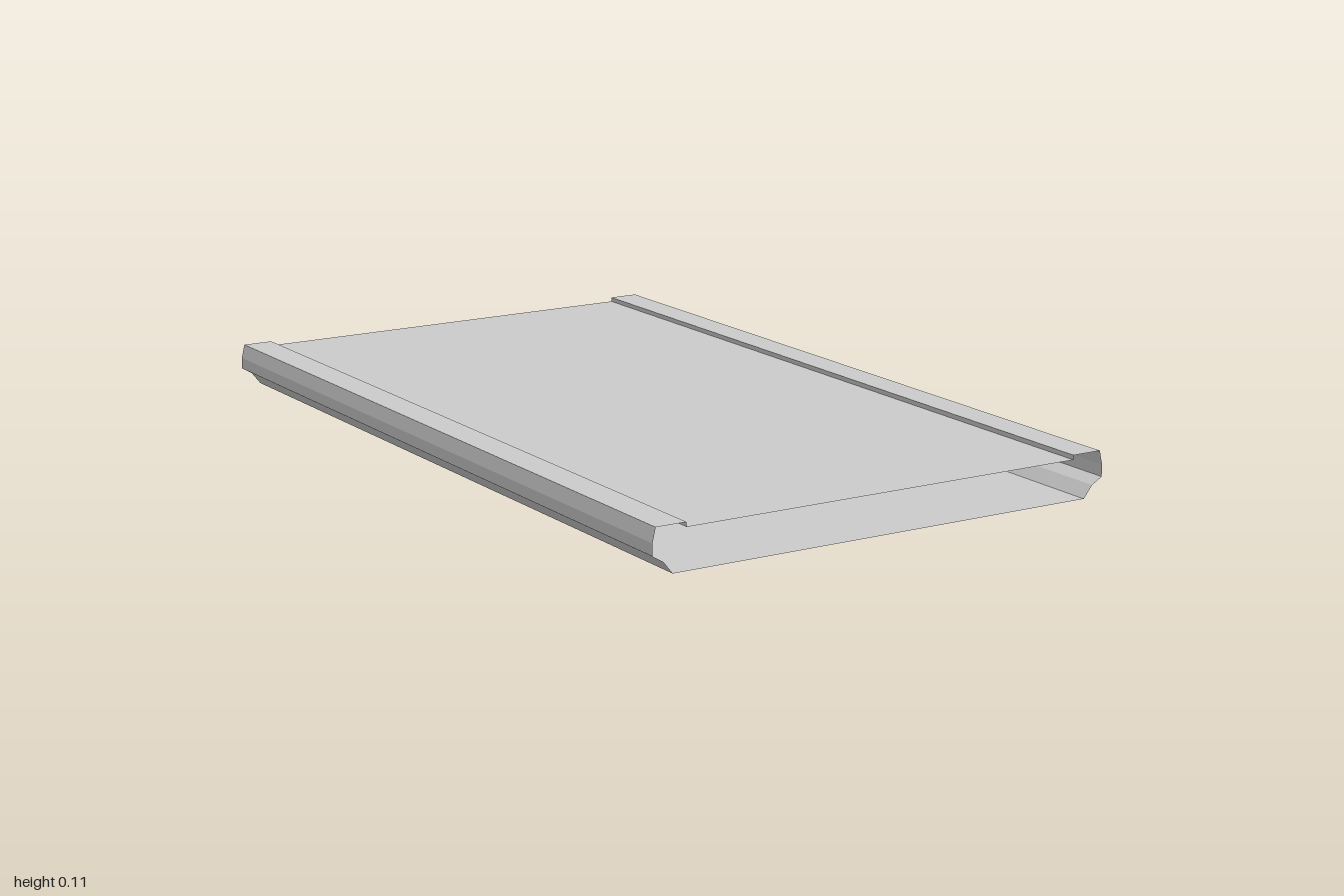
import * as THREE from 'three';

const HALF_LENGTH = 1;
const material = new THREE.MeshStandardMaterial({
  color: 0xcccccc, flatShading: true, side: THREE.DoubleSide,
});

// Sweeps an open [x, y] profile straight along z, leaving both ends open.
// The profile runs so that its left-hand side faces outwards (+x to -x on top).
function sweep(name, profile) {
  const positions = [];
  for (let i = 0; i < profile.length - 1; i++) {
    const [ax, ay] = profile[i];
    const [bx, by] = profile[i + 1];
    const a0 = [ax, ay, HALF_LENGTH], a1 = [ax, ay, -HALF_LENGTH];
    const b0 = [bx, by, HALF_LENGTH], b1 = [bx, by, -HALF_LENGTH];
    positions.push(...a0, ...a1, ...b1, ...a0, ...b1, ...b0);
  }
  const geometry = new THREE.BufferGeometry();
  geometry.setAttribute('position', new THREE.Float32BufferAttribute(positions, 3));
  geometry.computeVertexNormals();
  const mesh = new THREE.Mesh(geometry, material);
  mesh.name = name;
  return mesh;
}

export function createModel() {
  const group = new THREE.Group();
  group.name = 'hollowSlab';

  // Side rail: lower flank, undercut, upright side, raised lip, step to the panel
  const rail = [
    [0.55, 0], [0.573, 0.029], [0.6, 0.045], [0.6, 0.073],
    [0.592, 0.107], [0.516, 0.107], [0.516, 0.096],
  ];
  const mirrored = rail.map(([x, y]) => [-x, y]).reverse();

  group.add(sweep('leftRail', rail));
  group.add(sweep('rightRail', mirrored));

  // Recessed top panel and flat bottom plate
  group.add(sweep('topPanel', [[0.516, 0.096], [-0.516, 0.096]]));
  group.add(sweep('bottomPlate', [[-0.55, 0], [0.55, 0]]));

  return group;
}
